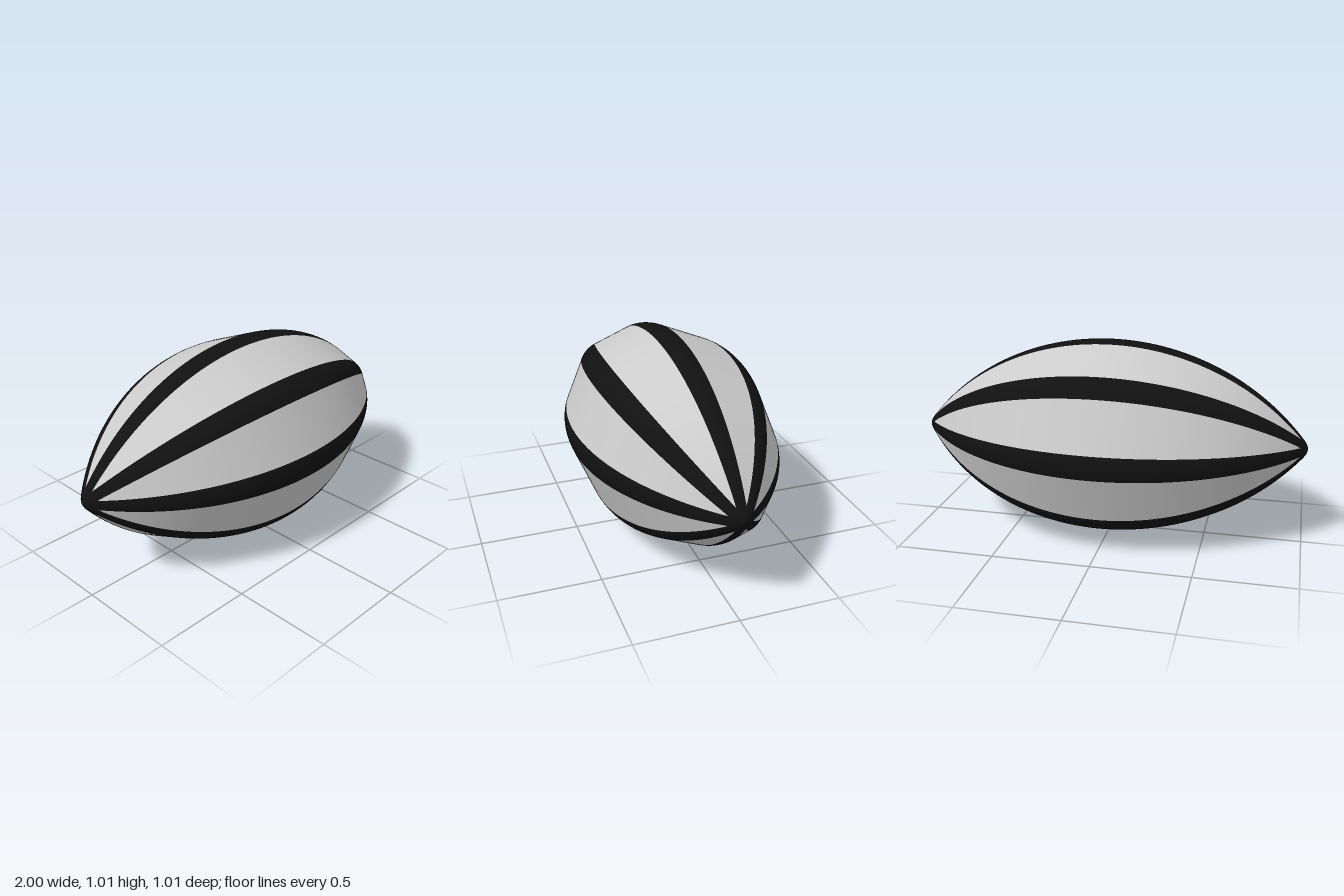
import * as THREE from 'three';

const R_MAX = 0.52, X_END = 1.015, CENTRE_Y = 0.508;
const ARC = (X_END * X_END + R_MAX * R_MAX) / (2 * R_MAX);
const SECTOR = Math.PI / 4, SLOPE = Math.tan(SECTOR / 2);

// Rings along the long axis: circular-arc profile with small blunt tips
function makeRings() {
  const rings = [];
  const n = 80;
  for (let i = 0; i <= n; i++) {
    const x = -0.975 * Math.cos((Math.PI * i) / n);
    rings.push([x, Math.sqrt(ARC * ARC - x * x) - (ARC - R_MAX)]);
  }
  const tip = [[0.986, 0.038], [0.995, 0.022], [1, 0]];
  return [...tip.map(([x, r]) => [-x, r]).reverse(), ...rings, ...tip];
}

// Half width of a stripe, and the height of its edge, for a ring radius
function stripeEdge(r) {
  const w = Math.min(Math.max(0.025, 0.018 + 0.083 * r), 0.3536 * r);
  return { w, y: r - w * SLOPE };
}

// Rounded corner strip facing +y; u runs from -1 to 1
function stripePoint(r, u) {
  const { w } = stripeEdge(r);
  return [r - w * SLOPE * (1 + u * u) / 2, w * u];
}

// Straight span from one stripe to the next; u runs from -1 to 1
function panelPoint(r, u) {
  const { w, y } = stripeEdge(r);
  const c = Math.cos(SECTOR), s = Math.sin(SECTOR), t = (u + 1) / 2;
  return [
    THREE.MathUtils.lerp(y, y * c + w * s, t),
    THREE.MathUtils.lerp(w, y * s - w * c, t),
  ];
}

function loft(rings, point, segments) {
  const positions = [], indices = [], row = segments + 1;
  rings.forEach(([x, r], i) => {
    for (let j = 0; j <= segments; j++) {
      positions.push(x, ...point(r, (2 * j) / segments - 1));
      if (i < rings.length - 1 && j < segments) {
        const a = i * row + j, b = a + row;
        indices.push(a, a + 1, b, a + 1, b + 1, b);
      }
    }
  });
  const geometry = new THREE.BufferGeometry();
  geometry.setAttribute('position', new THREE.Float32BufferAttribute(positions, 3));
  geometry.setIndex(indices);
  geometry.computeVertexNormals();
  return geometry;
}

export function createModel() {
  const model = new THREE.Group();
  model.name = 'stripedPod';
  const grey = new THREE.MeshStandardMaterial({ color: 0xcccccc });
  const black = new THREE.MeshStandardMaterial({ color: 0x111111 });

  const rings = makeRings();
  const stripe = loft(rings, stripePoint, 10);
  // Panels stop where the stripes merge at the tips
  const panel = loft(rings.filter(([, r]) => r > 0.05), panelPoint, 6);

  // Eight stripes and eight panels around the long axis
  for (let i = 0; i < 8; i++) {
    for (const [name, geometry, material] of [['stripe', stripe, black], ['panel', panel, grey]]) {
      const mesh = new THREE.Mesh(geometry, material);
      mesh.name = `${name}${i + 1}`;
      mesh.rotation.x = i * SECTOR;
      mesh.position.y = CENTRE_Y;
      model.add(mesh);
    }
  }
  return model;
}
